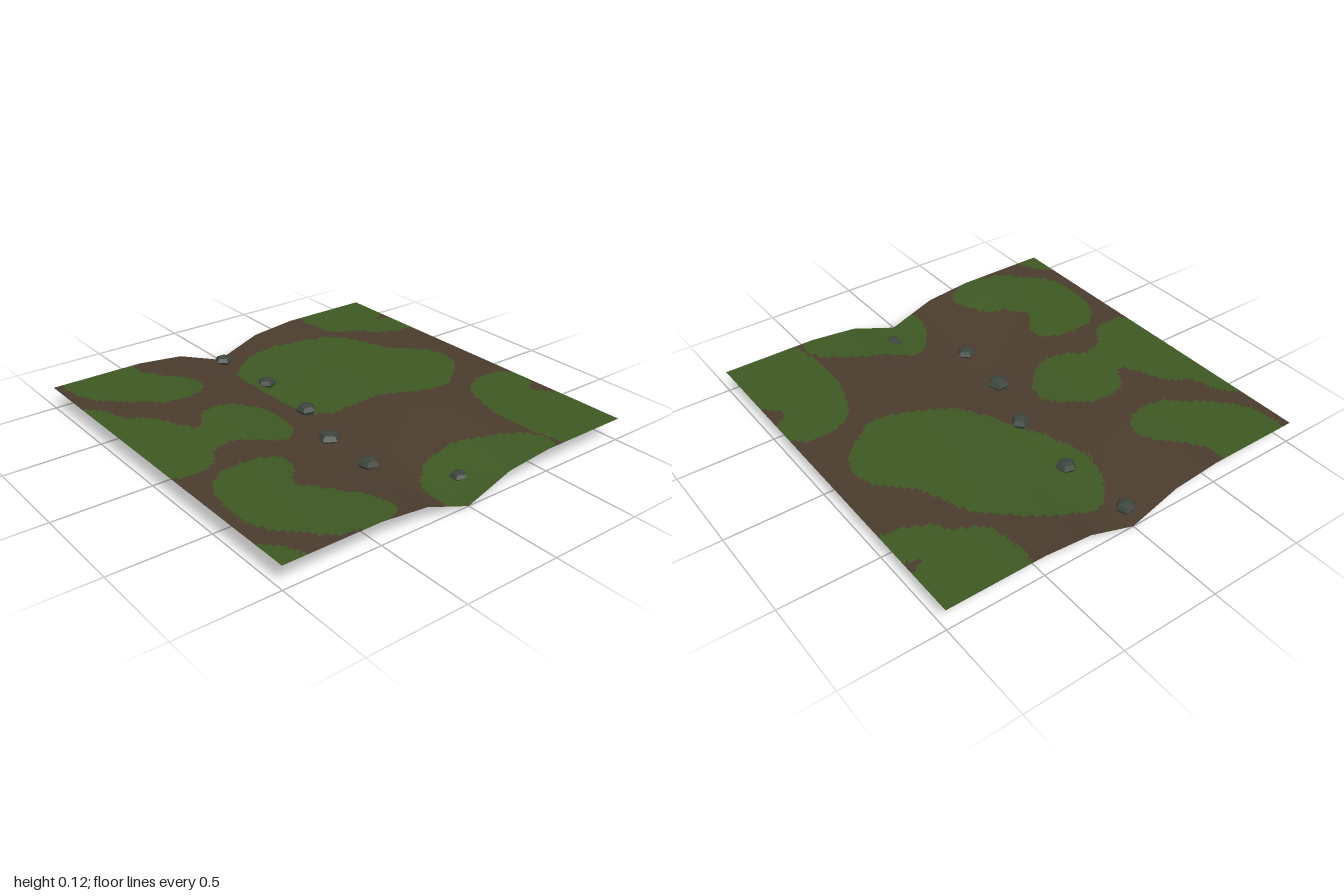
import * as THREE from 'three';

const SIZE = 2, COARSE = 8, FINE = 80;
const HEIGHT = 0.115, BANK = 0.36;

// Sideways shift of the channel for each row, back to front
const channel = [0, 0.04, 0.07, 0, -0.06, -0.14, -0.19, -0.03, 0];

// Smooth closed outline of a grass patch, given as x, z pairs
function outline(...n) {
  const pts = [];
  for (let i = 0; i < n.length; i += 2) pts.push(new THREE.Vector3(n[i], 0, n[i + 1]));
  return new THREE.CatmullRomCurve3(pts, true, 'centripetal').getPoints(pts.length * 5);
}

function inside(x, z, ring) {
  let hit = false;
  for (let i = 0, j = ring.length - 1; i < ring.length; j = i++) {
    const a = ring[i], b = ring[j];
    if ((a.z > z) !== (b.z > z) && x < (b.x - a.x) * (z - a.z) / (b.z - a.z) + a.x) hit = !hit;
  }
  return hit;
}

function grassPatches() {
  const centre = outline(-0.11, -0.55, -0.09, -0.67, -0.02, -0.78, 0.1, -0.85, 0.25, -0.82, 0.4, -0.75,
    0.57, -0.62, 0.66, -0.43, 0.7, -0.34, 0.82, -0.22, 0.87, -0.1, 0.84, 0.03, 0.75, 0.12,
    0.6, 0.21, 0.45, 0.17, 0.3, 0.1, 0.1, 0, -0.02, -0.15, -0.08, -0.35);
  const front = outline(-0.1, 1.03, -0.13, 0.93, -0.09, 0.8, 0, 0.69, 0.1, 0.64, 0.3, 0.69, 0.46, 0.77,
    0.55, 0.85, 0.58, 0.95, 0.5, 1.03);
  const backRight = outline(-0.93, -1.04, -0.95, -0.85, -0.87, -0.7, -0.75, -0.6, -0.62, -0.5, -0.45, -0.5,
    -0.37, -0.57, -0.36, -0.63, -0.43, -0.75, -0.54, -0.88, -0.56, -1.04);
  const right = outline(-1.03, -0.7, -0.93, -0.62, -0.88, -0.48, -0.77, -0.38, -0.7, -0.24, -0.64, -0.17,
    -0.55, -0.29, -0.38, -0.3, -0.26, -0.2, -0.21, -0.07, -0.25, 0.05, -0.35, 0.13, -0.45, 0.13,
    -0.6, 0.04, -0.72, 0.08, -0.78, 0.17, -0.92, 0.2, -1.03, 0.14);
  const frontRight = outline(-0.9, 0.35, -0.8, 0.26, -0.6, 0.25, -0.5, 0.32, -0.5, 0.4, -0.59, 0.52,
    -0.52, 0.63, -0.42, 0.72, -0.36, 0.85, -0.36, 0.93, -0.45, 0.99, -0.6, 0.99, -0.72, 0.95,
    -0.84, 0.82, -0.92, 0.72, -0.94, 0.6);
  const corner = outline(-1.04, 0.8, -0.97, 0.84, -0.91, 0.92, -0.87, 1.04, -1.04, 1.04);
  const backLeft = outline(0.59, -1.04, 0.56, -0.85, 0.6, -0.7, 0.7, -0.65, 0.8, -0.55, 0.92, -0.5,
    1.04, -0.5, 1.04, -0.66, 0.92, -0.71, 1.04, -0.78, 1.04, -1.04);
  const frontLeft = outline(0.57, 0.65, 0.6, 0.5, 0.67, 0.33, 0.8, 0.25, 0.94, 0.26, 1.03, 0.35,
    1.0, 0.44, 0.92, 0.52, 1.04, 0.66, 1.04, 1.04, 0.64, 1.04, 0.58, 0.85);
  return [centre, front, backRight, right, frontRight, corner, backLeft, frontLeft];
}

// Coarse sheet with the meandering channel pressed in
function coarseTerrain() {
  const geo = new THREE.PlaneGeometry(SIZE, SIZE, COARSE, COARSE).rotateX(-Math.PI / 2);
  const p = geo.attributes.position;
  for (let i = 0; i < p.count; i++) {
    const d = Math.abs(p.getX(i) - channel[Math.floor(i / (COARSE + 1))]);
    p.setY(i, HEIGHT * THREE.MathUtils.smoothstep(d, 0, BANK));
  }
  geo.computeVertexNormals();
  return geo;
}

// Blends a coarse attribute across the two triangles of its cell
function sample(attr, x, z) {
  const gx = (x + 1) / SIZE * COARSE, gz = (z + 1) / SIZE * COARSE;
  const i = Math.min(COARSE - 1, Math.floor(gx + 1e-6)), j = Math.min(COARSE - 1, Math.floor(gz + 1e-6));
  const u = gx - i, v = gz - j;
  const at = (a, b) => new THREE.Vector3().fromBufferAttribute(attr, (j + b) * (COARSE + 1) + i + a);
  const out = new THREE.Vector3();
  if (u + v <= 1) out.addScaledVector(at(0, 0), 1 - u - v);
  else out.addScaledVector(at(1, 1), u + v - 1);
  return out.addScaledVector(at(1, 0), u + v <= 1 ? u : 1 - v)
    .addScaledVector(at(0, 1), u + v <= 1 ? v : 1 - u);
}

export function createModel() {
  const model = new THREE.Group();
  const material = (name, color) => new THREE.MeshStandardMaterial({ name, color });
  const soil = material('soil brown', 0x4a3c2e);
  const grass = material('grass green', 0x3e5723);
  const stone = material('stone grey', 0x3d453e);
  soil.side = grass.side = THREE.DoubleSide;
  stone.flatShading = true;

  // Fine sheet following the coarse one, so that grass edges can be cut
  const coarse = coarseTerrain();
  const sheet = new THREE.PlaneGeometry(SIZE, SIZE, FINE, FINE).rotateX(-Math.PI / 2);
  const pos = sheet.attributes.position, nor = sheet.attributes.normal;
  for (let i = 0; i < pos.count; i++) {
    const x = pos.getX(i), z = pos.getZ(i);
    pos.setY(i, sample(coarse.attributes.position, x, z).y);
    const n = sample(coarse.attributes.normal, x, z).normalize();
    nor.setXYZ(i, n.x, n.y, n.z);
  }

  // Sort the triangles into soil and grass
  const patches = grassPatches(), faces = { soil: [], grass: [] };
  const index = sheet.index;
  for (let f = 0; f < index.count; f += 3) {
    const t = [0, 1, 2].map(k => index.getX(f + k));
    const x = t.reduce((s, v) => s + pos.getX(v), 0) / 3;
    const z = t.reduce((s, v) => s + pos.getZ(v), 0) / 3;
    faces[patches.some(r => inside(x, z, r)) ? 'grass' : 'soil'].push(...t);
  }
  for (const [name, mat] of [['soil', soil], ['grass', grass]]) {
    const geo = sheet.clone().setIndex(faces[name]);
    const mesh = new THREE.Mesh(geo, mat);
    mesh.name = name + 'Ground';
    model.add(mesh);
  }

  // Stones along the channel: x, y, z, radius, turn
  const stones = [
    [-0.03, 0.037, -0.91, 0.05, 0.3], [0, 0.03, -0.53, 0.052, 0.1], [-0.03, 0.035, -0.14, 0.054, 0.7],
    [-0.13, 0.037, 0.18, 0.06, 0.35], [-0.15, 0.045, 0.5, 0.054, 0.8], [0.105, 0.038, 0.83, 0.045, 0.5],
  ];
  stones.forEach(([x, y, z, r, turn], i) => {
    const mesh = new THREE.Mesh(new THREE.SphereGeometry(r, 5, 4), stone);
    mesh.name = 'stone' + (i + 1);
    mesh.scale.y = 0.55;
    mesh.rotation.y = turn;
    mesh.position.set(x, y, z);
    model.add(mesh);
  });
  return model;
}
